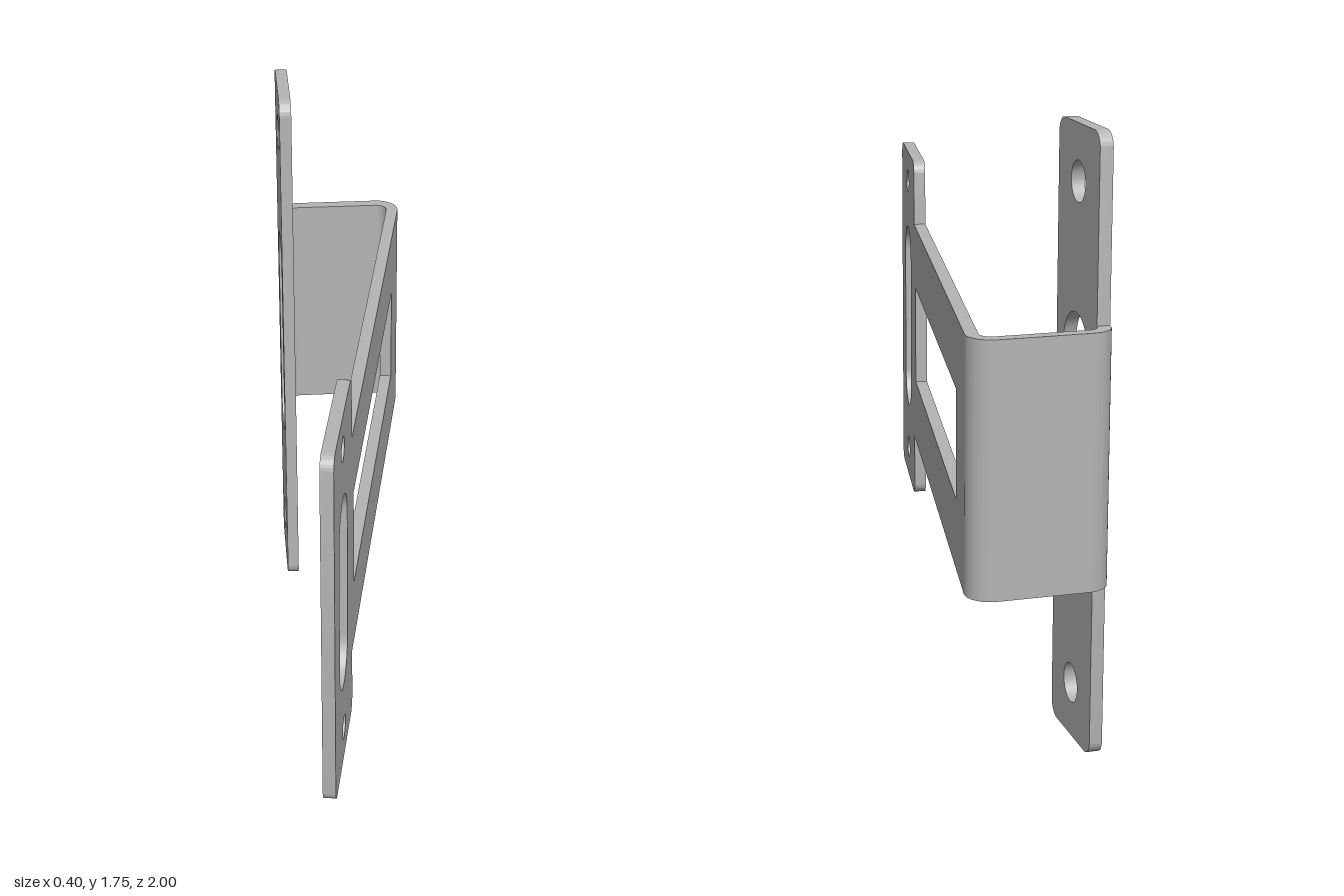
import * as THREE from 'three';
import { toCreasedNormals } from 'three/addons/utils/BufferGeometryUtils.js';

const T = 0.037;                    // sheet thickness
const MID = 0.877;                  // height of the symmetry plane
const ARM = 0.36;                   // half height of arm and bends
const R = 0.07;                     // outer bend radius
const BX = 0.13, BZ = -0.93;        // bend centres
const TILT = THREE.MathUtils.degToRad(10);

export function createModel() {
  const group = new THREE.Group();
  const steel = new THREE.MeshStandardMaterial({ color: 0xb4b4b4 });
  steel.name = 'steel';

  const add = (name, shape, depth) => {
    const geo = new THREE.ExtrudeGeometry(shape, { depth, bevelEnabled: false, curveSegments: 16 });
    const mesh = new THREE.Mesh(toCreasedNormals(geo, 0.5), steel);
    mesh.name = name;
    group.add(mesh);
    return mesh;
  };
  const circle = (x, y, r) => new THREE.Path().absarc(x, y, r, 0, Math.PI * 2, false);
  const slot = (x, r, half) => {
    const p = new THREE.Path();
    p.absarc(x, half - r, r, 0, Math.PI, false);
    p.absarc(x, r - half, r, Math.PI, Math.PI * 2, false);
    p.closePath();
    return p;
  };
  // Corner arc that turns left, starting at angle a
  const corner = (s, x, y, r, a) => s.absarc(x, y, r, a, a + Math.PI / 2, false);
  const H = Math.PI / 2;

  // Tilted arm with its wider end plate, measured along the sheet from the bend
  const end = 1.947, step = 1.495, wide = 0.563, c = 0.04;
  const arm = new THREE.Shape();
  arm.moveTo(0, -ARM);
  arm.lineTo(step, -ARM);
  corner(arm, step + c, -wide + c, c, Math.PI);
  corner(arm, end - c, -wide + c, c, -H);
  corner(arm, end - c, wide - c, c, 0);
  corner(arm, step + c, wide - c, c, H);
  arm.lineTo(step, ARM);
  arm.lineTo(0, ARM);
  arm.closePath();
  const win = new THREE.Path();
  win.setFromPoints([[0.206, -0.157], [0.206, 0.157], [1.445, 0.157], [1.445, -0.157]]
    .map(([x, y]) => new THREE.Vector2(x, y)));
  win.closePath();
  arm.holes.push(win, slot(1.724, 0.102, 0.309),
    circle(1.724, 0.463, 0.036), circle(1.724, -0.463, 0.036));
  const armMesh = add('armWithEndPlate', arm, T);
  armMesh.position.set(BX + R * Math.cos(TILT), MID, BZ + R * Math.sin(TILT));
  armMesh.rotation.y = -H - TILT;

  // Tall mounting strip
  const w = 0.33, h = 0.877, k = 0.045;
  const strip = new THREE.Shape();
  corner(strip, k, -h + k, k, Math.PI);
  corner(strip, w - k, -h + k, k, -H);
  corner(strip, w - k, h - k, k, 0);
  corner(strip, k, h - k, k, H);
  strip.closePath();
  strip.holes.push(slot(0.17, 0.1, 0.36), circle(0.168, 0.72, 0.057), circle(0.168, -0.72, 0.057));
  const stripMesh = add('mountingStrip', strip, T);
  stripMesh.position.set(-BX - R + T, MID, BZ);
  stripMesh.rotation.y = -H;

  // Back web with both bends, extruded along the height
  const web = new THREE.Shape();
  web.absarc(-BX, BZ, R, Math.PI, 3 * H, false);
  web.absarc(BX, BZ, R, -H, TILT, false);
  web.absarc(BX, BZ, R - T, TILT, -H, true);
  web.absarc(-BX, BZ, R - T, 3 * H, Math.PI, true);
  web.closePath();
  const webMesh = add('bentBackWeb', web, ARM * 2);
  webMesh.rotation.x = H;
  webMesh.position.y = MID + ARM;

  return group;
}
